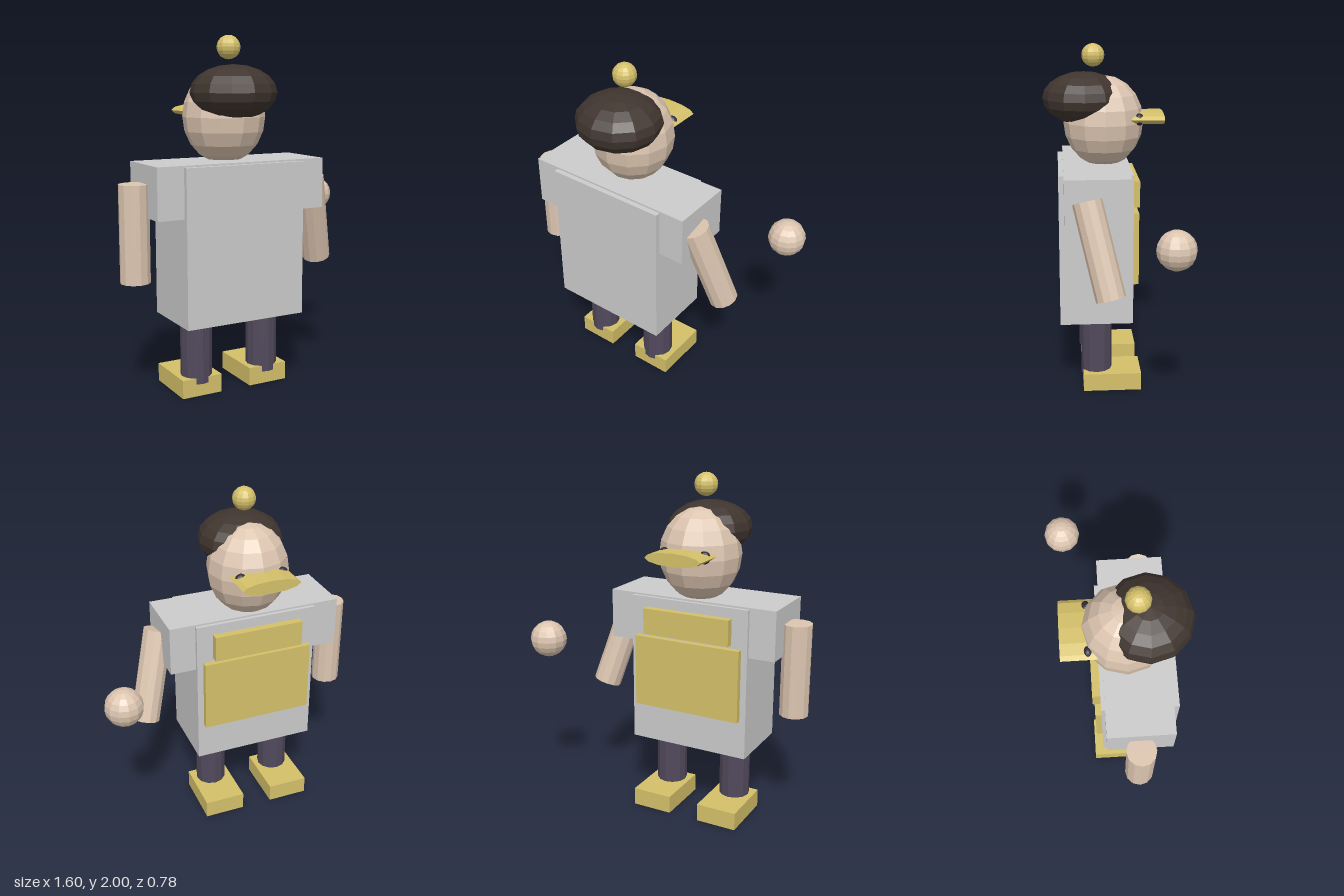
import * as THREE from 'three';

const mat = (color) => new THREE.MeshStandardMaterial({ color, flatShading: true });

export function createModel() {
  const model = new THREE.Group();
  model.name = 'figure';
  const grey = mat(0xcccccc), skin = mat(0xdcc5b0), yellow = mat(0xd4c069);
  const dark = mat(0x40352f), trousers = mat(0x51495c), eyeMat = mat(0x2f2a3a);
  const cx = -0.147; // body centre line

  function add(name, geometry, material, x, y, z) {
    const mesh = new THREE.Mesh(geometry, material);
    mesh.name = name;
    mesh.position.set(x, y, z);
    model.add(mesh);
    return mesh;
  }
  // box given by its lower and upper corners
  function box(name, material, [x0, y0, z0], [x1, y1, z1]) {
    return add(name, new THREE.BoxGeometry(x1 - x0, y1 - y0, z1 - z0), material,
      (x0 + x1) / 2, (y0 + y1) / 2, (z0 + z1) / 2);
  }
  function ball(name, material, [x, y, z], [rx, ry, rz]) {
    const g = new THREE.SphereGeometry(1, 12, 10).scale(rx, ry, rz);
    return add(name, g, material, x, y, z);
  }
  // cylinder between two points
  function limb(name, material, from, to, r) {
    const a = new THREE.Vector3(...from), b = new THREE.Vector3(...to);
    const dir = b.clone().sub(a);
    const mid = a.clone().add(b).multiplyScalar(0.5);
    const mesh = add(name, new THREE.CylinderGeometry(r, r, dir.length(), 12), material, mid.x, mid.y, mid.z);
    mesh.quaternion.setFromUnitVectors(new THREE.Vector3(0, 1, 0), dir.normalize());
    return mesh;
  }

  // body
  box('torso', grey, [-0.508, 0.435, -0.111], [0.214, 1.308, 0.307]);
  box('shoulders', grey, [-0.661, 1.034, -0.09], [0.363, 1.318, 0.277]);
  box('chestPanel', yellow, [-0.472, 0.66, -0.145], [0.178, 1.08, -0.1]);
  box('collarPanel', yellow, [-0.412, 1.1, -0.155], [0.118, 1.25, -0.1]);

  // arms and raised hand
  limb('hangingArm', skin, [-0.717, 0.68, 0.092], [-0.717, 1.215, 0.092], 0.083);
  limb('raisedArm', skin, [0.492, 0.69, 0.034], [0.356, 1.2, 0.154], 0.083);
  ball('hand', skin, [0.69, 1.022, -0.287], [0.106, 0.106, 0.106]);

  // legs and feet
  for (const [side, s] of [['right', -1], ['left', 1]]) {
    const x = cx + s * 0.213;
    limb(side + 'Leg', trousers, [x, 0.07, 0.095], [x, 0.5, 0.095], 0.09);
    box(side + 'Foot', yellow, [x - 0.121, 0, -0.164], [x + 0.121, 0.105, 0.175]);
    ball(side + 'Eye', eyeMat, [cx + s * 0.121, 1.58, -0.16], [0.035, 0.035, 0.028]);
  }

  // head
  ball('head', skin, [cx, 1.555, 0.038], [0.233, 0.265, 0.233]);
  ball('hair', dark, [cx, 1.69, 0.152], [0.241, 0.152, 0.238]);
  ball('topBall', yellow, [cx, 1.934, 0.097], [0.066, 0.066, 0.066]);

  // flat lens-shaped bill
  const bill = new THREE.CylinderGeometry(1, 1, 0.22, 12).rotateX(Math.PI / 2).scale(0.167, 0.037, 1);
  add('bill', bill, yellow, cx, 1.58, -0.193);

  return model;
}
